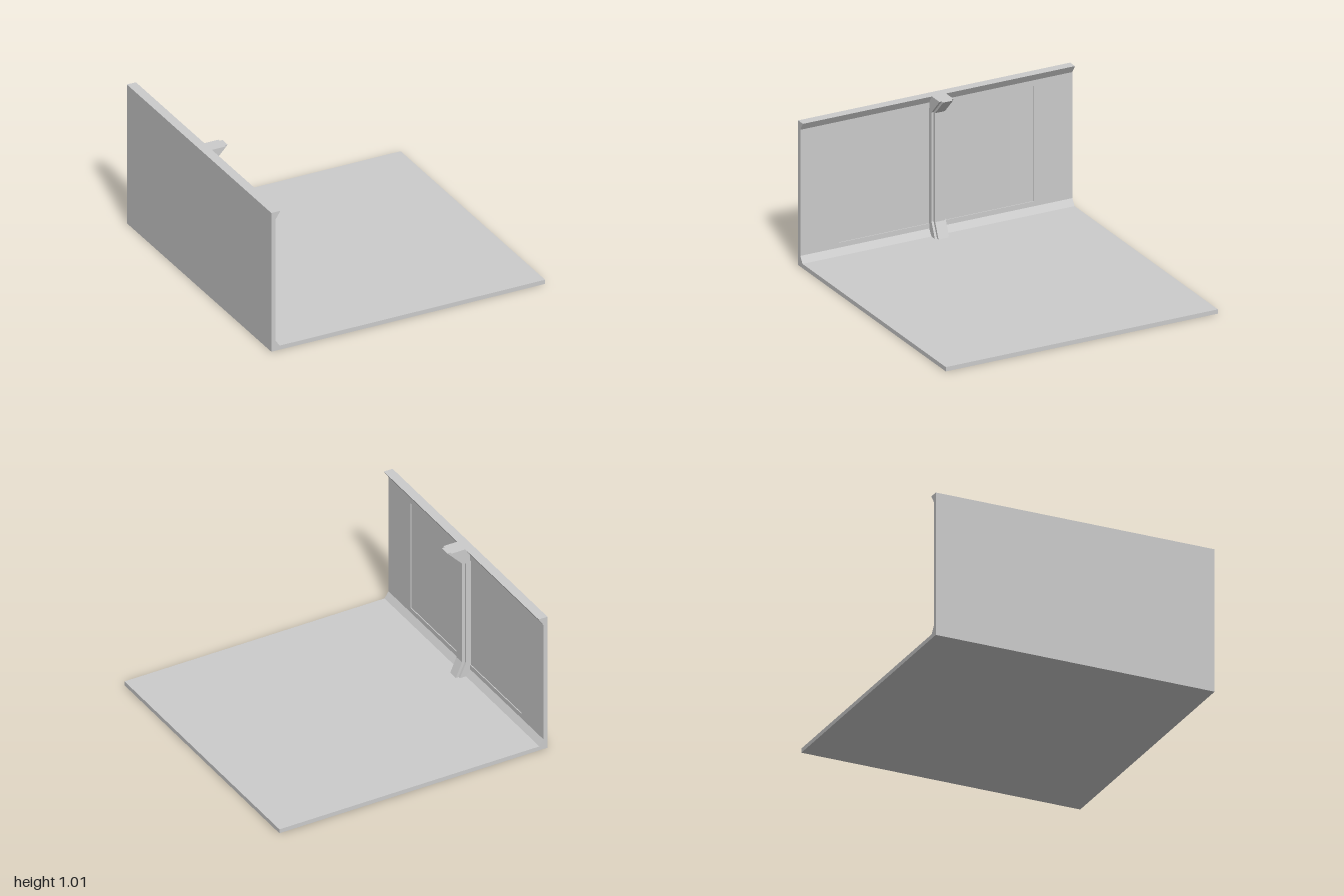
import * as THREE from 'three';

const material = new THREE.MeshStandardMaterial({ color: 0xcccccc, flatShading: true });

// Extrudes an x-y profile along z between two depths
function prism(name, points, zMin, zMax) {
  const shape = new THREE.Shape(points.map(([x, y]) => new THREE.Vector2(x, y)));
  const geometry = new THREE.ExtrudeGeometry(shape, { depth: zMax - zMin, bevelEnabled: false });
  geometry.translate(0, 0, zMin);
  const mesh = new THREE.Mesh(geometry, material);
  mesh.name = name;
  return mesh;
}

export function createModel() {
  const group = new THREE.Group();
  group.name = 'floorAndWallSection';
  const height = 1.015, floorTop = 0.03, wallFace = -0.97, panelEnd = 0.715;

  // Floor and wall in one profile, with a shallow notch where the panel is sunk
  const profile = (notch) => [
    [-1, 0], [1, 0], [1, floorTop], [-0.94, floorTop], [wallFace, 0.075],
    ...notch,
    [wallFace, 0.96], [-0.934, height], [-1, height],
  ];
  const sunk = wallFace - 0.006;
  const notch = [[wallFace, 0.11], [sunk, 0.11], [sunk, 0.92], [wallFace, 0.92]];
  group.add(
    prism('floorAndWallBack', profile([]), -1, -panelEnd),
    prism('floorAndWallPanel', profile(notch), -panelEnd, panelEnd),
    prism('floorAndWallFront', profile([]), panelEnd, 1),
  );

  // Stepped pillar: a wide backing and a narrower rib, flared at foot and head
  const pillar = (name, x, halfWidth) => prism(name, [
    [-0.985, 0.02], [x + 0.05, 0.02], [x + 0.047, floorTop], [x, 0.135], [x, 0.9],
    [x + 0.11, height], [-0.985, height],
  ], -halfWidth, halfWidth);
  group.add(pillar('pillarBacking', -0.941, 0.052), pillar('pillarRib', -0.92, 0.036));

  return group;
}
